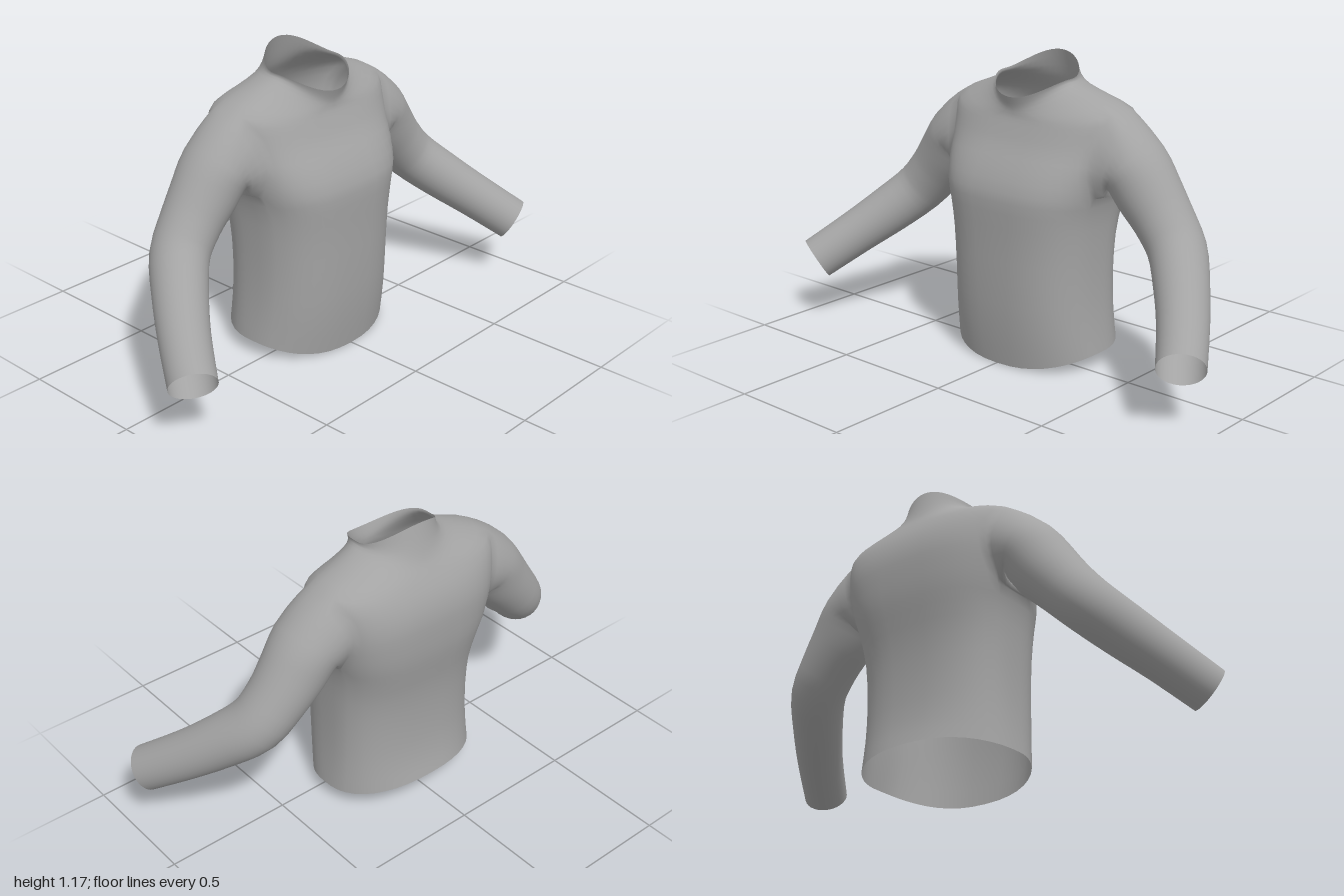
import * as THREE from 'three';

const COLS = 48, QUAD = 12, SUB = 2; // columns round the body, per quarter, rows per key
const HOLE = { half: 4, low: 10, high: 18 }; // armhole: columns each side, first and last row

// Body sections, hem to collar:
// y front, y side, y back, half width, z front, z back, z side, squareness, armhole angle
const BODY = [
  [0.005, 0.066, 0.098, 0.33, 0.175, -0.31, -0.06, 2.3, 20],
  [0.17, 0.2, 0.2, 0.316, 0.195, -0.287, -0.06, 2.5, 20],
  [0.35, 0.35, 0.35, 0.31, 0.203, -0.28, -0.06, 2.6, 20],
  [0.5, 0.5, 0.5, 0.313, 0.205, -0.29, -0.06, 2.7, 20],
  [0.62, 0.61, 0.62, 0.322, 0.209, -0.313, -0.07, 2.9, 18],
  [0.7, 0.685, 0.7, 0.34, 0.205, -0.327, -0.08, 3, 14],
  [0.785, 0.77, 0.785, 0.36, 0.168, -0.333, -0.09, 3, 26],
  [0.855, 0.85, 0.86, 0.375, 0.125, -0.332, -0.1, 2.9, 32],
  [0.915, 0.935, 0.93, 0.388, 0.098, -0.315, -0.11, 2.7, 29],
  [0.952, 1.0, 0.985, 0.38, 0.083, -0.287, -0.11, 2.5, 18],
  [0.97, 1.045, 1.02, 0.28, 0.08, -0.265, -0.1, 2.2, 20],
  [0.988, 1.075, 1.055, 0.2, 0.08, -0.245, -0.085, 2, 25],
  [1.01, 1.09, 1.11, 0.167, 0.085, -0.225, -0.07, 2, 30],
  [1.036, 1.103, 1.177, 0.166, 0.094, -0.205, -0.065, 2, 30],
];

// Sleeve sections, armhole to cuff: x, y, z, radius up, radius forward
const SLEEVE = [
  [0.36, 0.84, -0.1, 0.15, 0.15],
  [0.435, 0.8, -0.105, 0.127, 0.14],
  [0.495, 0.722, -0.105, 0.125, 0.127],
  [0.57, 0.632, -0.1, 0.113, 0.116],
  [0.65, 0.54, -0.075, 0.105, 0.112],
  [0.735, 0.45, 0.015, 0.1, 0.102],
  [0.825, 0.357, 0.13, 0.092, 0.094],
  [0.918, 0.256, 0.27, 0.088, 0.088],
];

// Smooth interpolation through the rows of a table
function sample(table, t) {
  const last = table.length - 1;
  const k = Math.min(Math.max(Math.floor(t), 0), last - 1), u = t - k;
  const row = (n) => table[Math.min(Math.max(n, 0), last)];
  return table[k].map((b, c) => {
    const a = row(k - 1)[c], d = row(k + 1)[c], e = row(k + 2)[c];
    const m0 = (d - a) / 2, m1 = (e - b) / 2;
    return b + u * (m0 + u * (3 * (d - b) - 2 * m0 - m1 + u * (2 * (b - d) + m0 + m1)));
  });
}

function bodyPoint(col, row) {
  const [yF, yS, yB, hw, zF, zB, zS, p, deg] = sample(BODY, row / SUB);
  // Fold the column into one quarter, then spread it round the squared oval
  const half = COLS / 2, around = col % half;
  const o = around <= QUAD ? around : half - around;
  const theta = THREE.MathUtils.degToRad(deg), h = HOLE.half;
  const a = o <= h ? (theta * o) / h : theta + ((Math.PI / 2 - theta) * (o - h)) / (QUAD - h);
  const cx = Math.pow(Math.max(Math.cos(a), 0), 2 / p), cz = Math.pow(Math.sin(a), 2 / p);
  const front = col <= half, right = col > QUAD && col < COLS - QUAD;
  return new THREE.Vector3(
    (right ? -1 : 1) * hw * cx,
    THREE.MathUtils.lerp(yS, front ? yF : yB, cz * cz),
    THREE.MathUtils.lerp(zS, front ? zF : zB, cz)
  );
}

// Armhole edge as [column offset, row], from the top centre round by the front
function armholeLoop() {
  const { half, low, high } = HOLE, loop = [];
  for (let o = 0; o < half; o++) loop.push([o, high]);
  for (let r = high; r > low; r--) loop.push([half, r]);
  for (let o = half; o > -half; o--) loop.push([o, low]);
  for (let r = low; r < high; r++) loop.push([-half, r]);
  for (let o = -half; o < 0; o++) loop.push([o, high]);
  return loop;
}

function sleevePoint(t, phi) {
  const s = sample(SLEEVE, t), end = SLEEVE.length - 1;
  const ahead = sample(SLEEVE, Math.min(t + 0.05, end)), behind = sample(SLEEVE, Math.max(t - 0.05, 0));
  const along = new THREE.Vector3(...ahead.slice(0, 3)).sub(new THREE.Vector3(...behind.slice(0, 3))).normalize();
  const fwd = new THREE.Vector3(0, 0, 1).addScaledVector(along, -along.z).normalize();
  const up = new THREE.Vector3().crossVectors(fwd, along);
  return new THREE.Vector3(s[0], s[1], s[2])
    .addScaledVector(up, Math.cos(phi) * s[3])
    .addScaledVector(fwd, Math.sin(phi) * s[4]);
}

function shirtGeometry() {
  const points = [], index = [];
  const add = (v) => points.push(v) - 1;
  const quad = (a, b, c, d, flip) => index.push(...(flip ? [a, c, b, a, d, c] : [a, b, c, a, c, d]));
  const rows = (BODY.length - 1) * SUB;

  // Body, leaving out the armholes
  for (let r = 0; r <= rows; r++) for (let c = 0; c < COLS; c++) add(bodyPoint(c, r));
  const id = (c, r) => r * COLS + ((c + COLS) % COLS);
  for (let r = 0; r < rows; r++) {
    for (let c = 0; c < COLS; c++) {
      const fromSide = Math.abs(((c + 0.5 + QUAD) % (COLS / 2)) - QUAD);
      if (fromSide < HOLE.half && r >= HOLE.low && r < HOLE.high) continue;
      quad(id(c, r), id(c, r + 1), id(c + 1, r + 1), id(c + 1, r));
    }
  }

  // Sleeves, each growing out of its armhole edge
  const loop = armholeLoop(), n = loop.length, steps = 3;
  const start = new THREE.Vector3(...SLEEVE[0].slice(0, 3));
  for (const side of [1, -1]) {
    const edge = loop.map(([o, r]) => id(side > 0 ? o : COLS / 2 - o, r));
    let ring = edge;
    for (let k = 1; k <= (SLEEVE.length - 1) * steps; k++) {
      const t = k / steps, shift = new THREE.Vector3(...sample(SLEEVE, t).slice(0, 3)).sub(start);
      const next = edge.map((e, m) => {
        const p = sleevePoint(t, (m / n) * Math.PI * 2);
        p.x *= side;
        if (t < 1) {
          const q = points[e].clone().add(new THREE.Vector3(shift.x * side, shift.y, shift.z));
          p.lerp(q, 1 - t);
        }
        return add(p);
      });
      for (let m = 0; m < n; m++) {
        const m1 = (m + 1) % n;
        quad(ring[m], ring[m1], next[m1], next[m], side < 0);
      }
      ring = next;
    }
  }

  const geometry = new THREE.BufferGeometry().setFromPoints(points);
  geometry.setIndex(index);
  geometry.computeVertexNormals();
  return geometry;
}

export function createModel() {
  const group = new THREE.Group();
  group.name = 'longSleevedShirt';
  const cloth = new THREE.MeshStandardMaterial({ color: 0xa3a3a3, side: THREE.DoubleSide });
  cloth.name = 'grey cloth';
  const shirt = new THREE.Mesh(shirtGeometry(), cloth);
  shirt.name = 'bodyAndSleeves';
  group.add(shirt);
  return group;
}
